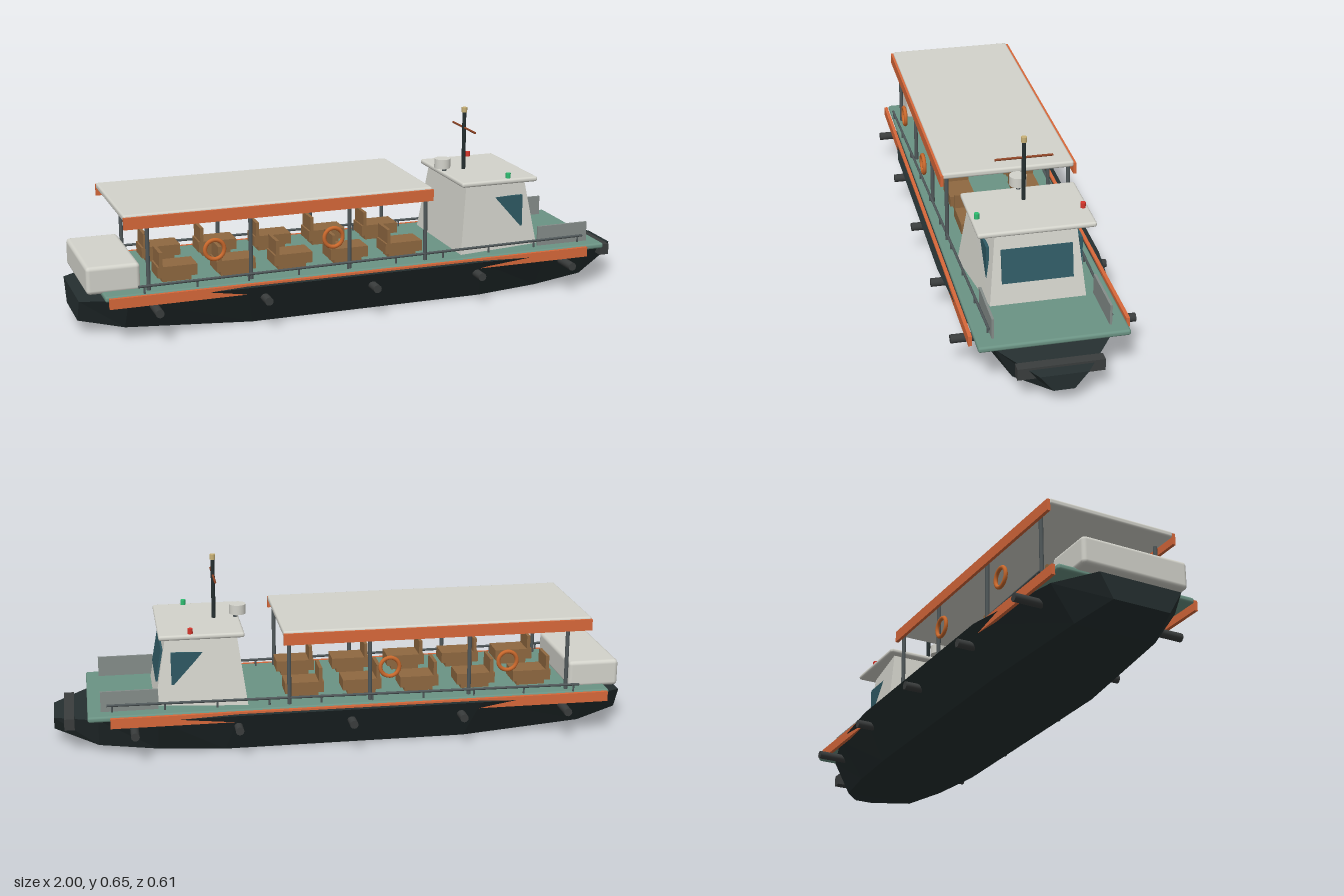
import * as THREE from 'three';
import { RoundedBoxGeometry } from 'three/addons/geometries/RoundedBoxGeometry.js';

const mat = (color, flatShading = false) => new THREE.MeshStandardMaterial({ color, flatShading });
const M = {
  hull: mat(0x252f30, true), deck: mat(0x6b9384), orange: mat(0xd8683a), white: mat(0xd3d3cb),
  cabin: mat(0xd3d3cb, true), glass: mat(0x2f5a64), steel: mat(0x50585a), panel: mat(0x858d8a),
  wood: mat(0x8f6840), rubber: mat(0x3a3d3d), buoy: mat(0xc9682c), rust: mat(0x8f4526),
  brass: mat(0xc9b277), red: mat(0xd8362c), green: mat(0x2fbf72),
};

export function createModel() {
  const root = new THREE.Group();
  root.name = 'ferryBoat';

  const add = (name, geo, material, x = 0, y = 0, z = 0) => {
    const m = new THREE.Mesh(geo, material);
    m.name = name;
    m.position.set(x, y, z);
    root.add(m);
    return m;
  };
  // Box given by its limits on each axis
  const box = (name, material, [x0, x1], [y0, y1], [z0, z1], r = 0) => {
    const s = [x1 - x0, y1 - y0, z1 - z0];
    const geo = r ? new RoundedBoxGeometry(...s, 2, r) : new THREE.BoxGeometry(...s);
    return add(name, geo, material, (x0 + x1) / 2, (y0 + y1) / 2, (z0 + z1) / 2);
  };
  // Upright cylinder from y0 to y1
  const post = (name, material, r, x, z, y0, y1, sides = 12) =>
    add(name, new THREE.CylinderGeometry(r, r, y1 - y0, sides), material, x, (y0 + y1) / 2, z);
  // Straight rod between two points
  const rod = (name, material, r, a, b, sides = 10) => {
    const p = new THREE.Vector3(...a), q = new THREE.Vector3(...b);
    const m = add(name, new THREE.CylinderGeometry(r, r, p.distanceTo(q), sides), material);
    m.position.copy(p).add(q).multiplyScalar(0.5);
    m.quaternion.setFromUnitVectors(new THREE.Vector3(0, 1, 0), q.sub(p).normalize());
    return m;
  };
  // Faceted solid through four-cornered stations: [xTop, yTop, halfTop, xBottom, yBottom, halfBottom]
  const loft = (name, material, stations) => {
    const rings = stations.map(([xt, yt, wt, xb, yb, wb]) =>
      [[xt, yt, -wt], [xb, yb, -wb], [xb, yb, wb], [xt, yt, wt]]);
    const v = [];
    for (let i = 0; i < rings.length - 1; i++) {
      for (let j = 0; j < 4; j++) {
        const k = (j + 1) % 4;
        const a = rings[i][j], b = rings[i][k], c = rings[i + 1][j], d = rings[i + 1][k];
        v.push(...a, ...c, ...b, ...b, ...c, ...d);
      }
    }
    const s = rings[0], e = rings[rings.length - 1];
    v.push(...s[0], ...s[1], ...s[2], ...s[0], ...s[2], ...s[3]);
    v.push(...e[0], ...e[2], ...e[1], ...e[0], ...e[3], ...e[2]);
    const geo = new THREE.BufferGeometry();
    geo.setAttribute('position', new THREE.Float32BufferAttribute(v, 3));
    geo.computeVertexNormals();
    return add(name, geo, material);
  };

  // Hull, deck and bow bumper
  loft('hull', M.hull, [
    [-1, 0.125, 0.145, -1, 0.045, 0.1],
    [-0.85, 0.135, 0.225, -0.85, 0.018, 0.145],
    [-0.46, 0.153, 0.28, -0.42, 0, 0.183],
    [0.38, 0.153, 0.28, 0.42, 0, 0.183],
    [0.65, 0.142, 0.256, 0.65, 0.008, 0.165],
    [0.85, 0.132, 0.19, 0.85, 0.02, 0.13],
    [1, 0.11, 0.078, 1, 0.054, 0.034],
  ]);
  box('deck', M.deck, [-0.93, 0.885], [0.143, 0.163], [-0.245, 0.245], 0.008);
  box('bowBumper', M.rubber, [0.93, 0.965], [0.083, 0.123], [-0.14, 0.14]);

  // Wheelhouse with roof and windows
  loft('wheelhouse', M.cabin, [
    [0.372, 0.403, 0.17, 0.34, 0.16, 0.205],
    [0.612, 0.403, 0.135, 0.656, 0.16, 0.16],
  ]);
  box('wheelhouseRoof', M.white, [0.347, 0.638], [0.402, 0.42], [-0.195, 0.195], 0.008);
  const pane = add('frontWindow', new THREE.BoxGeometry(0.012, 0.115, 0.236), M.glass, 0.633, 0.292, 0);
  pane.rotation.z = 0.182;

  // Passenger canopy and stern locker
  box('canopyRoof', M.white, [-0.86, 0.22], [0.405, 0.427], [-0.229, 0.229], 0.008);
  box('sternLocker', M.white, [-0.98, -0.8], [0.155, 0.25], [-0.188, 0.188], 0.014);

  // Parts repeated on both sides
  for (const s of [1, -1]) {
    const side = s > 0 ? 'left' : 'right';
    const span = (a, b) => (s > 0 ? [a, b] : [-b, -a]);

    box(side + 'RubRail', M.orange, [-0.92, 0.81], [0.125, 0.16], span(0.25, 0.262));
    box(side + 'CanopyValance', M.orange, [-0.86, 0.22], [0.38, 0.42], span(0.226, 0.237));
    box(side + 'SideWindow', M.glass, [0.46, 0.597], [0.235, 0.348], span(0.15, 0.16));
    box(side + 'BowBulwark', M.panel, [0.645, 0.84], [0.163, 0.234], span(0.186, 0.194));

    for (const x of [-0.78, -0.43, -0.08, 0.2])
      post(side + 'CanopyPost', M.steel, 0.007, x, s * 0.213, 0.16, 0.41);

    // Low railing narrowing toward the bow
    const railZ = x => s * (0.22 - 0.026 * x);
    rod(side + 'Railing', M.steel, 0.0045, [-0.82, 0.186, railZ(-0.82)], [0.82, 0.186, railZ(0.82)]);
    for (let i = 0; i < 10; i++) {
      const x = -0.8 + i * 0.178;
      post(side + 'RailingPost', M.steel, 0.0035, x, railZ(x), 0.16, 0.186, 8);
    }

    // Benches with a backrest at the stern end
    for (let i = 0; i < 5; i++) {
      const x = -0.67 + i * 0.2025, z = s * 0.12;
      box(side + 'BenchSeat', M.wood, [x - 0.068, x + 0.068], [0.182, 0.22], [z - 0.045, z + 0.045]);
      box(side + 'BenchBase', M.wood, [x - 0.05, x + 0.05], [0.16, 0.184], [z - 0.03, z + 0.03]);
      box(side + 'BenchBack', M.wood, [x - 0.062, x - 0.05], [0.215, 0.27], [z - 0.045, z + 0.045]);
    }

    for (const x of [-0.56, -0.145])
      add(side + 'Lifebuoy', new THREE.TorusGeometry(0.033, 0.007, 10, 28), M.buoy, x, 0.285, s * 0.235);

    for (const x of [-0.765, -0.395, -0.01, 0.38, 0.73])
      rod(side + 'Fender', M.rubber, 0.0145, [x, 0.107, s * 0.2], [x, 0.107, s * 0.305], 12);

    post(side + 'NavigationLight', s > 0 ? M.green : M.red, 0.009, 0.53, s * 0.176, 0.415, 0.438);
  }

  // Mast, crossbar, lamp and radar drum
  post('mast', M.steel, 0.007, 0.435, 0, 0.415, 0.632).material = M.hull;
  post('mastLamp', M.brass, 0.01, 0.435, 0, 0.629, 0.647, 16);
  rod('mastCrossbar', M.rust, 0.004, [0.435, 0.573, -0.097], [0.435, 0.573, 0.097]);
  post('radarDrum', M.white, 0.029, 0.352, 0, 0.432, 0.466, 24);
  post('radarStand', M.steel, 0.008, 0.36, 0, 0.415, 0.435);

  return root;
}
